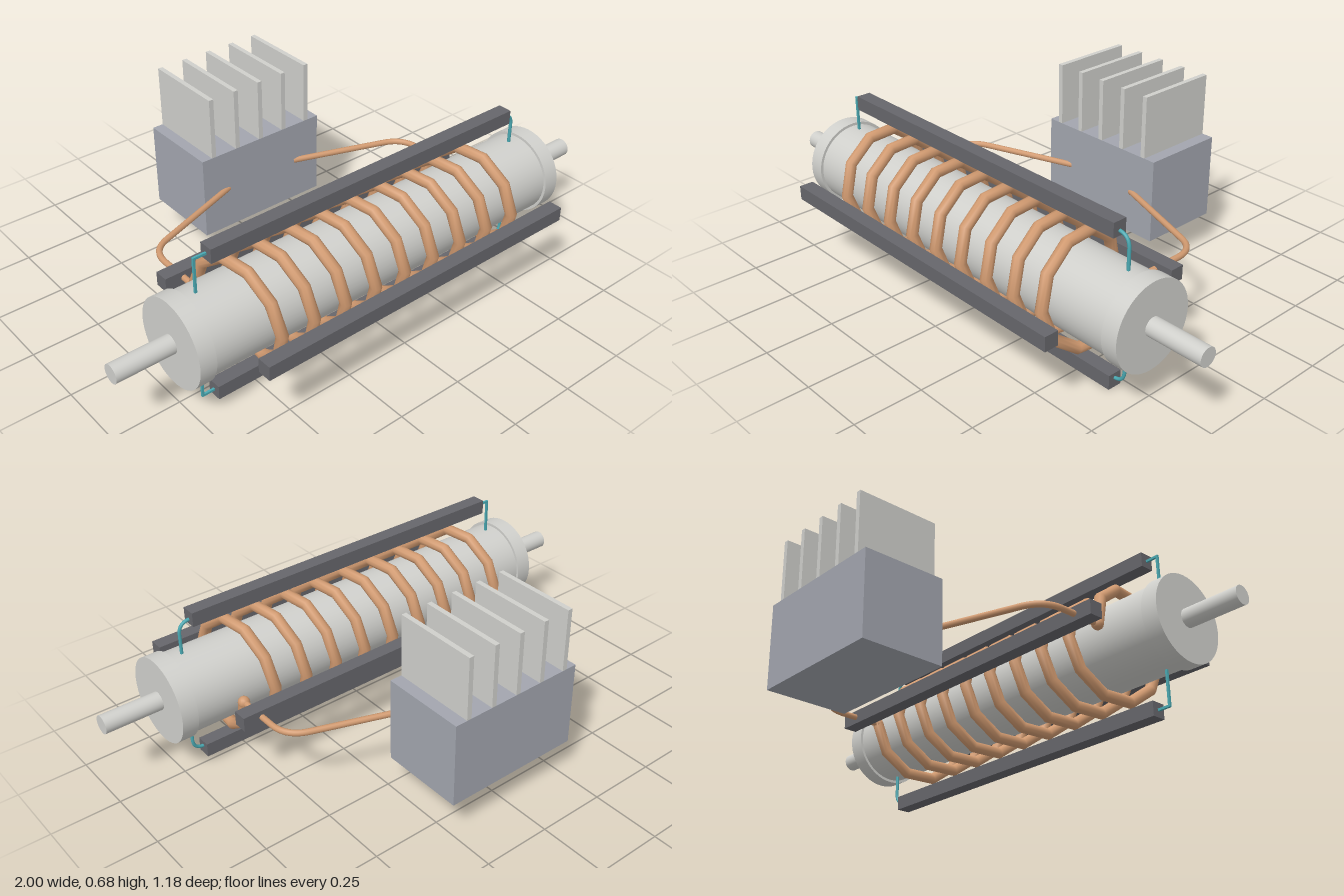
import * as THREE from 'three';

const AXIS_Y = 0.3, AXIS_Z = 0.295;

// Coil centreline: starts behind the core and winds over the top
class Helix extends THREE.Curve {
  constructor(radius, length, turns) {
    super();
    Object.assign(this, { radius, length, turns });
  }
  getPoint(t, target = new THREE.Vector3()) {
    const a = t * this.turns * Math.PI * 2;
    return target.set((t - 0.5) * this.length, this.radius * Math.sin(a), -this.radius * Math.cos(a));
  }
  getPointAt(t, target) { return this.getPoint(t, target); }
  getTangentAt(t, target) { return this.getTangent(t, target); }
}

// Straight runs joined by rounded corners
function roundedPath(points, r) {
  const p = points.map(q => new THREE.Vector3(...q));
  const path = new THREE.CurvePath();
  let from = p[0];
  for (let i = 1; i < p.length - 1; i++) {
    const a = p[i].clone().add(p[i - 1].clone().sub(p[i]).setLength(r));
    const b = p[i].clone().add(p[i + 1].clone().sub(p[i]).setLength(r));
    path.add(new THREE.LineCurve3(from, a));
    path.add(new THREE.QuadraticBezierCurve3(a, p[i], b));
    from = b;
  }
  path.add(new THREE.LineCurve3(from, p[p.length - 1]));
  return path;
}

export function createModel() {
  const model = new THREE.Group();
  model.name = 'coilAssembly';
  const mat = (name, color, side = THREE.FrontSide) => {
    const m = new THREE.MeshStandardMaterial({ color, side });
    m.name = name;
    return m;
  };
  const paleMetal = mat('paleMetal', 0xcfcfcb);
  const darkGrey = mat('darkGrey', 0x66666b);
  const blueGrey = mat('blueGrey', 0xa2a5ae);
  const copper = mat('copper', 0xd19a70, THREE.DoubleSide);
  const teal = mat('teal', 0x4aa9b2, THREE.DoubleSide);

  const add = (name, geometry, material, x = 0, y = 0, z = 0, parent = model) => {
    const mesh = new THREE.Mesh(geometry, material);
    mesh.name = name;
    mesh.position.set(x, y, z);
    parent.add(mesh);
    return mesh;
  };
  const rod = (r, len) => new THREE.CylinderGeometry(r, r, len, 48).rotateZ(Math.PI / 2);

  // Core, coil, rails and wires share the core's axis
  const core = new THREE.Group();
  core.name = 'core';
  core.position.set(0, AXIS_Y, AXIS_Z);
  model.add(core);

  add('barrel', rod(0.145, 1.47), paleMetal, 0, 0, 0, core);
  for (const s of [-1, 1]) {
    add('endCap', rod(0.155, 0.06), paleMetal, s * 0.76, 0, 0, core);
    add('shaft', rod(0.033, 0.22), paleMetal, s * 0.89, 0, 0, core);
  }

  // Ten straight segments per turn
  add('coil', new THREE.TubeGeometry(new Helix(0.187, 1.15, 9), 90, 0.021, 10), copper, 0, 0, 0, core);

  // Four rails around the core
  const railGeo = new THREE.BoxGeometry(1.29, 0.052, 0.052);
  for (const [y, z] of [[0.27, 0], [-0.27, 0], [0, 0.27], [0, -0.27]]) {
    add('rail', railGeo, darkGrey, 0, y, z, core);
  }

  // Wires from the top and bottom rails: square bends at one end, round at the other
  for (const s of [-1, 1]) {
    add('squareWireArm', new THREE.BoxGeometry(0.058, 0.008, 0.008), teal, -0.665, s * 0.27, 0, core);
    add('squareWireDrop', new THREE.BoxGeometry(0.008, 0.142, 0.008), teal, -0.69, s * 0.203, 0, core);
    const bend = roundedPath([[0.63, s * 0.262, 0], [0.685, s * 0.262, 0], [0.685, s * 0.13, 0]], 0.045);
    add('roundWire', new THREE.TubeGeometry(bend, 24, 0.006, 8), teal, 0, 0, 0, core);
  }

  // Leads from the coil ends to the cooler
  for (const s of [-1, 1]) {
    const path = roundedPath(
      [[s * 0.575, 0.3, 0.11], [s * 0.575, 0.3, -0.135], [s * 0.15, 0.3, -0.285]], 0.08);
    add('lead', new THREE.TubeGeometry(path, 48, 0.011, 10), copper);
    add('leadJoint', new THREE.SphereGeometry(0.021, 12, 8), copper, s * 0.575, 0.3, 0.108);
  }

  // Cooler block with upright fins
  add('coolerBlock', new THREE.BoxGeometry(0.52, 0.313, 0.313), blueGrey, 0, 0.299, -0.434);
  for (let i = -2; i <= 2; i++) {
    add('fin', new THREE.BoxGeometry(0.018, 0.23, 0.312), paleMetal, i * 0.104 - 0.002, 0.57, -0.434);
  }
  return model;
}
